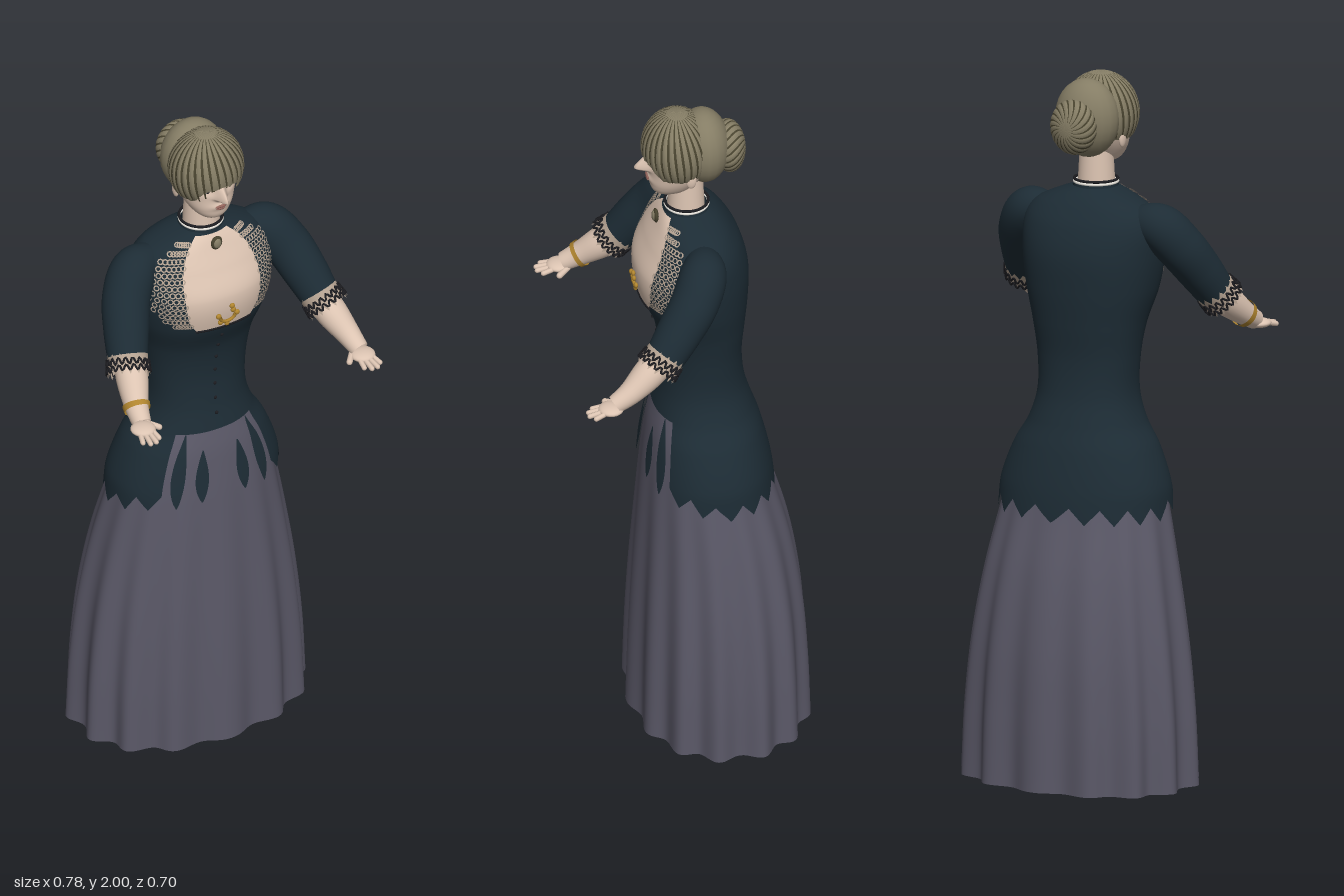
import * as THREE from 'three';
import { mergeGeometries } from 'three/addons/utils/BufferGeometryUtils.js';
import { ParametricGeometry } from 'three/addons/geometries/ParametricGeometry.js';

const mat = (name, color) => {
  const m = new THREE.MeshStandardMaterial({ color, side: THREE.DoubleSide });
  m.name = name;
  return m;
};
const V = (x, y, z) => new THREE.Vector3(x, y, z);
const spow = (t, p) => Math.sign(t) * Math.pow(Math.abs(t), p);
const { clamp, lerp, smoothstep } = THREE.MathUtils;
const tri = (t) => Math.abs((((t % 1) + 1) % 1) * 2 - 1); // zigzag between 0 and 1

// Smooth lookup in rows of [key, value, value, ...]
function sample(rows, y) {
  let i = rows.findIndex((r) => r[0] > y);
  i = i < 0 ? rows.length - 1 : Math.max(1, i);
  const a = rows[i - 1], b = rows[i], h = b[0] - a[0], t = clamp((y - a[0]) / h, 0, 1);
  const p = rows[Math.max(0, i - 2)], q = rows[Math.min(rows.length - 1, i + 1)];
  return a.slice(1).map((v, k) => {
    k += 1;
    const ma = (b[k] - p[k]) / (b[0] - p[0]) * h, mb = (q[k] - a[k]) / (q[0] - a[0]) * h;
    const t2 = t * t, t3 = t2 * t;
    return (2 * t3 - 3 * t2 + 1) * v + (t3 - 2 * t2 + t) * ma + (3 * t2 - 2 * t3) * b[k] + (t3 - t2) * mb;
  });
}
// Point on a stack of rounded sections [y, half width, front z, back z]; angle 0 is the front
function around(rows, a, y, off = 0) {
  const [w, f, b] = sample(rows, y), e = 2 / 2.2;
  return V((w + off) * spow(Math.sin(a), e), y, (f + b) / 2 + ((f - b) / 2 + off) * spow(Math.cos(a), e));
}
// Point on the front of the same stack at a given x
function front(rows, x, y, off = 0) {
  const [w, f, b] = sample(rows, y);
  const k = Math.pow(Math.max(0, 1 - Math.pow(Math.min(1, Math.abs(x) / w), 2.2)), 1 / 2.2);
  return V(x, y, (f + b) / 2 + (f - b) / 2 * k + off);
}

const JACKET = [[.72, .26, .13, -.252], [.78, .257, .127, -.248], [.85, .25, .12, -.238], [.95, .212, .106, -.214],
  [1.02, .17, .09, -.19], [1.1, .147, .075, -.168], [1.2, .15, .07, -.16], [1.3, .167, .085, -.168],
  [1.4, .194, .125, -.176], [1.5, .208, .137, -.176], [1.58, .205, .105, -.155], [1.63, .178, .08, -.125],
  [1.66, .12, .065, -.098], [1.68, .064, .052, -.07]];
const SKIRT = [[0, .342, .154, -.34], [.2, .335, .15, -.335], [.4, .316, .142, -.322], [.6, .284, .13, -.29],
  [.8, .242, .116, -.236], [.9, .218, .106, -.215], [.96, .196, .098, -.203], [1.03, .157, .082, -.178]];
const HEAD = [[1.735, .01, .06, .03], [1.75, .04, .088, -.01], [1.78, .064, .099, -.04], [1.82, .08, .1, -.07],
  [1.86, .087, .104, -.08], [1.93, .085, .1, -.08]];
const OPENING = [[1.4, .085, .1], [1.43, .105, .15], [1.48, .118, .188], [1.55, .12, .193], [1.61, .105, .168],
  [1.65, .08, .115], [1.675, .05, .056]];

export function createModel() {
  const model = new THREE.Group();
  const navy = mat('navy cloth', 0x1d2c35), grey = mat('grey skirt cloth', 0x5a5867), skin = mat('skin', 0xdcc4b2),
    hair = mat('hair', 0x857d65), hairDark = mat('dark hair', 0x48432f), gold = mat('gold', 0xb0852f),
    lace = mat('lace', 0xb3a190), black = mat('black', 0x1c1c20), lip = mat('lips', 0x94655c), white = mat('white', 0xe6e2da);

  const add = (name, geo, m, parent = model) => {
    const mesh = new THREE.Mesh(geo, m);
    mesh.name = name;
    parent.add(mesh);
    return mesh;
  };
  const surf = (name, m, fn, nu, nv, parent) =>
    add(name, new ParametricGeometry((u, v, t) => t.copy(fn(u, v)), nu, nv), m, parent);
  const ball = (name, m, p, r, parent) => {
    const b = add(name, new THREE.SphereGeometry(1, 20, 14), m, parent);
    b.position.copy(p);
    b.scale.set(...r);
    return b;
  };
  const tube = (name, m, pts, r, closed = false, parent) =>
    add(name, new THREE.TubeGeometry(new THREE.CatmullRomCurve3(pts, closed), pts.length * 4, r, 6, closed), m, parent);
  const TAU = Math.PI * 2;

  // Fluted skirt, open at the hem
  surf('skirt', grey, (u, v) => {
    const a = u * TAU, y = v * 1.03, p = around(SKIRT, a, y), [, f, b] = sample(SKIRT, y);
    const k = 1 + .045 * Math.max(0, 1 - y) * Math.cos(14 * a), c = (f + b) / 2;
    return V(p.x * k, y, c + (p.z - c) * k);
  }, 196, 40);

  // Fitted jacket, its dagged peplum and the loose front tabs
  surf('jacket', navy, (u, v) => around(JACKET, u * TAU, lerp(1.02, 1.68, v)), 80, 50);
  surf('peplum', navy, (u, v) => {
    const a = lerp(.74, TAU - .74, u);
    const hem = .755 + .045 * tri(u * 13) + .04 * smoothstep(Math.cos(a), -.2, .8);
    return around(JACKET, a, lerp(hem, 1.021, v));
  }, 156, 16);
  for (const s of [-1, 1]) for (const [a, wide, lo, hi] of [[.24, .085, .81, .97], [.55, .1, .8, 1.02]])
    surf('peplumTab', navy, (u, v) => {
      const w = wide * Math.pow(Math.sin(Math.PI * lerp(.01, .98, v)), .8) * (1.15 - .4 * v);
      return around(JACKET, s * (a + (u - .5) * 2 * w), lerp(lo, hi, v), .002);
    }, 6, 14);

  // Bare neckline
  surf('neckline', skin, (u, v) => {
    const y = lerp(1.4, 1.675, v);
    return front(JACKET, (u * 2 - 1) * sample(OPENING, y)[0], y, .004);
  }, 24, 30);
  tube('necklineEdge', black, Array.from({ length: 9 }, (_, i) => front(JACKET, (i / 4 - 1) * .088, 1.4, .004)), .004);

  // Lace panels made of rows of small rings lying on the bodice
  const rings = [], dummy = new THREE.Object3D();
  for (const s of [-1, 1]) for (let r = 0; r < 14; r++) for (let c = 0; c < 6; c++) {
    const y = 1.425 + r * .0178, [w0, w1] = sample(OPENING, y);
    const x = Math.min(lerp(w0, w1, (c + (r % 2) * .5) / 5.5), sample(JACKET, y)[0] * .96);
    const p = front(JACKET, x, y), e = .002;
    const n = front(JACKET, x + e, y).sub(p).cross(front(JACKET, x, y + e).sub(p)).normalize();
    p.addScaledVector(n, .004);
    dummy.position.set(s * p.x, p.y, p.z);
    dummy.lookAt(s * (p.x + n.x), p.y + n.y, p.z + n.z);
    dummy.updateMatrix();
    rings.push(new THREE.RingGeometry(.0055, .0095, 8).applyMatrix4(dummy.matrix));
  }
  add('lacePanels', mergeGeometries(rings), lace);

  // Buttons, brooch and hanging ornament
  for (let i = 0; i < 7; i++) ball('button', black, front(JACKET, 0, 1.07 + i * .048, .001), [.005, .005, .004]);
  ball('broochRim', hairDark, V(0, 1.655, .08), [.018, .022, .008]);
  ball('brooch', hair, V(0, 1.655, .085), [.012, .016, .007]);
  const hang = Array.from({ length: 9 }, (_, i) => {
    const a = Math.PI * (1 + i / 8);
    return front(JACKET, .024 * Math.cos(a), 1.443 + .02 * Math.sin(a), .009);
  });
  tube('ornament', gold, hang, .005);
  for (const [x, y] of [[-.03, 1.45], [.03, 1.445], [.012, 1.475], [.016, 1.46], [0, 1.415], [-.022, 1.425]])
    ball('ornamentBead', gold, front(JACKET, x, y, .009), [.008, .008, .006]);

  // Neck and collar
  const neck = add('neck', new THREE.CylinderGeometry(.047, .054, .13, 32), skin);
  neck.position.set(0, 1.725, -.006);
  const collar = add('collar', new THREE.CylinderGeometry(.06, .066, .032, 36, 1, true), navy);
  collar.position.set(0, 1.683, -.008);
  for (const [y, m] of [[1.69, white], [1.698, black]]) {
    const band = add('collarTrim', new THREE.TorusGeometry(.061, .004, 8, 40), m);
    band.rotation.x = Math.PI / 2;
    band.position.set(0, y, -.008);
  }

  // Head with modelled nose, brow and eye hollows
  const face = (x, y, z) => {
    const rise = y > 1.826 ? smoothstep(1.88 - y, 0, .054) : smoothstep(y, 1.808, 1.826);
    const hollow = Math.exp(-(((Math.abs(x) - .034) / .02) ** 2) - ((y - 1.85) / .014) ** 2);
    const mouth = Math.exp(-((x / .025) ** 2) - ((y - 1.793) / .01) ** 2);
    return z + .042 * rise * Math.exp(-((x / lerp(.009, .014, rise)) ** 2)) - .008 * hollow + .005 * mouth;
  };
  surf('head', skin, (u, v) => {
    const a = (u - .5) * TAU, p = around(HEAD, a, lerp(1.735, 1.93, v));
    if (Math.cos(a) > 0) p.z = face(p.x, p.y, p.z);
    return p;
  }, 128, 60);
  const onFace = (x, y, off) => {
    const p = front(HEAD, x, y);
    return V(x, y, face(x, y, p.z) + off);
  };
  for (const s of [-1, 1]) {
    ball('eye', white, onFace(s * .035, 1.849, -.001), [.014, .0065, .005]);
    ball('iris', black, onFace(s * .035, 1.849, .003), [.0055, .006, .002]);
    tube('eyelid', hairDark, [-.016, -.006, .006, .016].map((d) =>
      onFace(s * .035 + d, 1.856 - 18 * d * d, .003)), .0018);
    tube('eyebrow', hairDark, [.018, .03, .042, .054].map((x, i) =>
      onFace(s * x, 1.867 + [0, .004, .005, 0][i], .001)), .0022);
    ball('ear', skin, V(s * .084, 1.82, -.004), [.008, .026, .015]);
  }
  ball('upperLip', lip, onFace(0, 1.796, 0), [.018, .004, .004]);
  ball('lowerLip', lip, onFace(0, 1.789, 0), [.014, .0045, .004]);

  // Hair: swirled locks running out from a pole, with darker strands between them
  const locks = (name, pos, rad, end, count, swirl, width) => {
    const g = new THREE.Group();
    g.name = name;
    g.position.copy(pos);
    model.add(g);
    const at = (a, phi, k = 1) => {
      const r = k * (1 + .012 * Math.cos(count * (a - swirl * phi)) * Math.sin(phi));
      return V(rad[0] * r * Math.sin(phi) * Math.sin(a), rad[1] * r * Math.cos(phi), rad[2] * r * Math.sin(phi) * Math.cos(a));
    };
    surf(name + 'Base', hair, (u, v) => at((u - .5) * TAU, lerp(.005, end((u - .5) * TAU), v)), 128, 28, g);
    for (let i = 0; i < count; i++) {
      const a0 = ((i + .5) / count - .5) * TAU;
      surf(name + 'Strand', hairDark, (u, v) => {
        const phi = lerp(.3, end(a0) - .02, v), w = width * (.5 + .5 * Math.sin(v * Math.PI));
        return at(a0 + swirl * phi + (u - .5) * w, phi, 1.008);
      }, 2, 16, g);
    }
    return g;
  };
  const fringe = (a) => 1.7 + .46 * smoothstep(Math.abs(a), .35, .95) + .05 * Math.abs(Math.sin(5 * a));
  locks('hairCap', V(0, 1.885, .02), [.109, .115, .1], fringe, 30, .12, .075);
  ball('hairRoll', hair, V(0, 1.88, -.055), [.096, .112, .075]);
  locks('bun', V(0, 1.866, -.128), [.071, .047, .078], () => 2.4, 20, .5, .09).rotation.x = -Math.PI / 2;

  // Arms: round sections along a curve
  const limb = (pts) => {
    const curve = new THREE.CatmullRomCurve3(pts.map((p) => V(p[0], p[1], p[2])));
    const radii = pts.map((p, i) => [i / (pts.length - 1), p[3]]);
    return (a, t, off = 0) => {
      const T = curve.getTangent(t), side = T.clone().cross(V(0, 1, 0)).normalize(), up = side.clone().cross(T);
      const r = sample(radii, t)[0] + off;
      return curve.getPoint(t).addScaledVector(side, r * Math.cos(a)).addScaledVector(up, r * Math.sin(a));
    };
  };
  const capsule = (name, a, b, r, parent) => {
    const c = add(name, new THREE.CapsuleGeometry(r, a.distanceTo(b), 5, 10), skin, parent);
    c.position.copy(a).lerp(b, .5);
    c.quaternion.setFromUnitVectors(V(0, 1, 0), b.clone().sub(a).normalize());
  };
  for (const s of [-1, 1]) {
    const arm = new THREE.Group();
    arm.name = s > 0 ? 'leftArm' : 'rightArm';
    model.add(arm);
    const sleeve = limb([[s * .14, 1.595, -.025, .045], [s * .21, 1.583, -.012, .066], [s * .258, 1.525, .022, .068],
      [s * .288, 1.455, .072, .064], [s * .312, 1.385, .122, .056]]);
    const cuff = limb([[s * .3, 1.415, .1, .056], [s * .313, 1.385, .125, .058], [s * .325, 1.355, .152, .062]]);
    const fore = limb([[s * .3, 1.41, .1, .044], [s * .322, 1.352, .165, .045], [s * .343, 1.305, .225, .034],
      [s * .352, 1.278, .27, .027]]);
    surf('sleeve', navy, (u, v) => sleeve(u * TAU, v * (.94 + .06 * tri(u * 14))), 84, 30, arm);
    surf('laceCuff', lace, (u, v) => cuff(u * TAU, v * (.72 + .28 * tri(u * 16))), 96, 8, arm);
    for (const [t, d] of [[.55, .12], [.78, .1]])
      tube('cuffLaceThread', black, Array.from({ length: 36 }, (_, i) =>
        cuff(i / 36 * TAU, t + (i % 2 ? d : -d), .002)), .0032, true, arm);
    surf('forearm', skin, (u, v) => fore(u * TAU, v), 28, 20, arm);
    if (s < 0) surf('bracelet', gold, (u, v) => fore(u * TAU, lerp(.64, .73, v), .005), 32, 3, arm);

    // Hand, palm down
    ball('palm', skin, V(s * .355, 1.268, .282), [.036, .014, .036], arm);
    [[.332, .331], [.349, .345], [.367, .345], [.383, .33]].forEach(([x, z], i) =>
      capsule('finger', V(s * (.336 + i * .0125), 1.267, .298), V(s * x, 1.259, z), .0075, arm));
    capsule('thumb', V(s * .332, 1.268, .262), V(s * .308, 1.262, .29), .009, arm);
  }
  return model;
}
